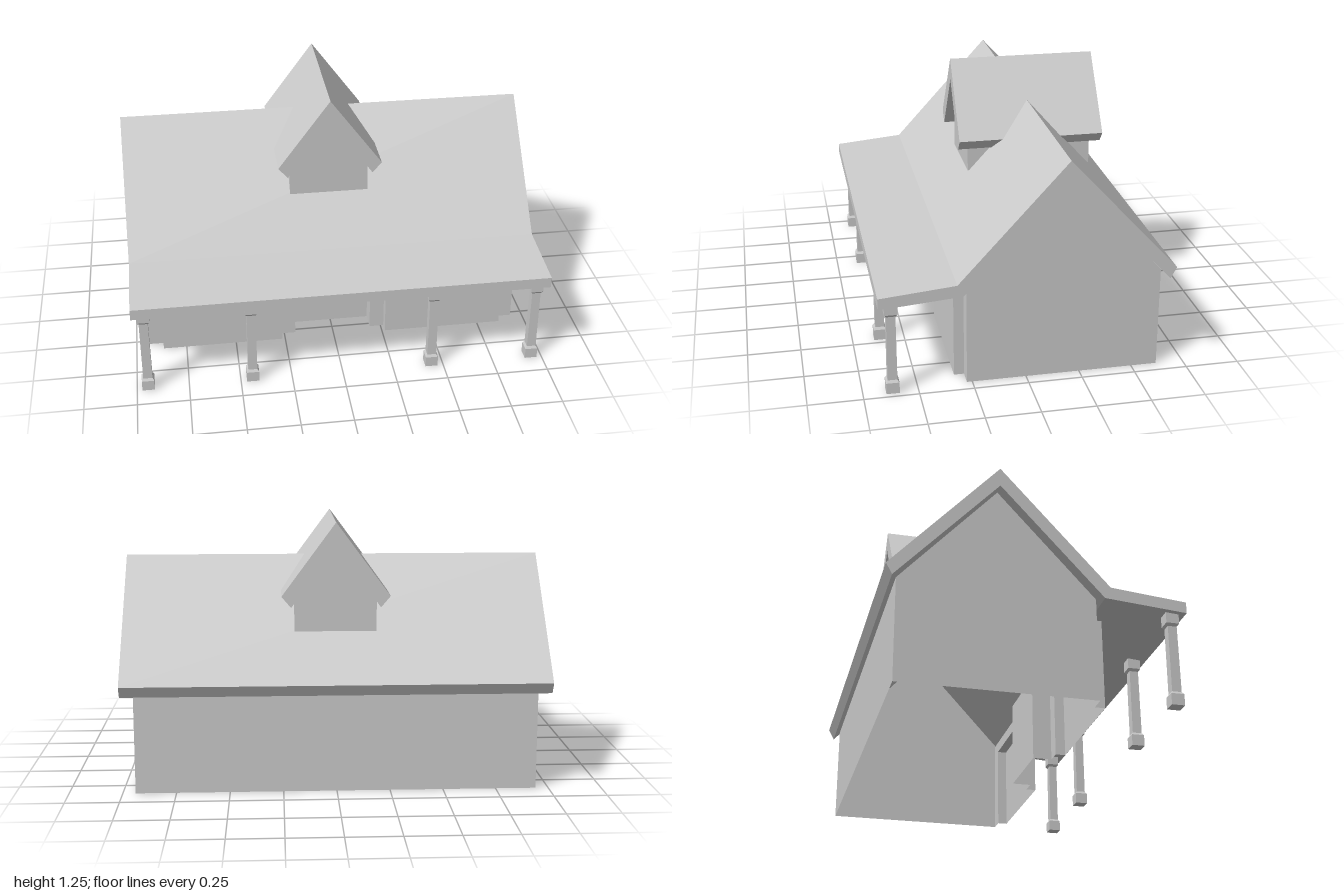
import * as THREE from 'three';

const solid = new THREE.MeshStandardMaterial({ color: 0xcccccc, flatShading: true });
const thin = new THREE.MeshStandardMaterial({ color: 0xcccccc, flatShading: true, side: THREE.DoubleSide });

const RIDGE_Z = -0.173;
const WALL_X = 0.94, WALL_FRONT = 0.275, WALL_BACK = -0.621;
const EAVE_Y = 0.485, BAY_TOP = 0.42;

const shapeOf = (pts) => new THREE.Shape(pts.map(([x, y]) => new THREE.Vector2(x, y)));

function add(parent, name, geometry, material = solid) {
  const mesh = new THREE.Mesh(geometry, material);
  mesh.name = name;
  parent.add(mesh);
  return mesh;
}

// Extrudes an outline along z, centred on the origin
function extrude(pts, depth, steps = 1) {
  return new THREE.ExtrudeGeometry(shapeOf(pts), { depth, steps, bevelEnabled: false })
    .translate(0, 0, -depth / 2);
}

// Vertical strip that follows an [x, z] plan line
function planStrip(plan, y0, y1) {
  const pos = [], index = [];
  plan.forEach(([x, z], i) => {
    pos.push(x, y0, z, x, y1, z);
    if (i) {
      const a = 2 * i - 2;
      index.push(a, a + 2, a + 3, a, a + 3, a + 1);
    }
  });
  const g = new THREE.BufferGeometry();
  g.setAttribute('position', new THREE.Float32BufferAttribute(pos, 3));
  g.setIndex(index);
  const flat = g.toNonIndexed();
  flat.computeVertexNormals();
  return flat;
}

function buildWalls() {
  const walls = new THREE.Group();
  walls.name = 'walls';

  // Gable ends and back wall, open underneath
  const gable = [[WALL_FRONT, 0], [WALL_FRONT, EAVE_Y], [RIDGE_Z, 0.975], [WALL_BACK, EAVE_Y], [WALL_BACK, 0]];
  for (const side of [-1, 1]) {
    const g = new THREE.ShapeGeometry(shapeOf(gable)).rotateY(-Math.PI / 2);
    add(walls, 'gableWall', g, thin).position.x = side * WALL_X;
  }
  add(walls, 'backWall', planStrip([[WALL_X, WALL_BACK], [-WALL_X, WALL_BACK]], 0, EAVE_Y), thin);

  // Two projecting bays and a recessed entrance: [x0, x1, z of face]
  const bays = [[-0.865, -0.265, 0.322], [-0.193, 0.193, 0.185], [0.265, 0.865, 0.322]];
  const outline = [[-WALL_X, 0]];
  for (const [x0, x1] of bays) outline.push([x0, 0], [x0, BAY_TOP], [x1, BAY_TOP], [x1, 0]);
  outline.push([WALL_X, 0], [WALL_X, EAVE_Y - 0.01], [-WALL_X, EAVE_Y - 0.01]);
  add(walls, 'frontWall', new THREE.ShapeGeometry(shapeOf(outline)), thin).position.z = WALL_FRONT;

  for (const [x0, x1, z] of bays) {
    const name = z > WALL_FRONT ? 'frontBay' : 'entranceRecess';
    add(walls, name, planStrip([[x0, WALL_FRONT], [x0, z], [x1, z], [x1, WALL_FRONT]], 0, BAY_TOP), thin);
    const top = new THREE.PlaneGeometry(x1 - x0, Math.abs(z - WALL_FRONT)).rotateX(-Math.PI / 2);
    add(walls, name + 'Top', top, thin).position.set((x0 + x1) / 2, BAY_TOP, (z + WALL_FRONT) / 2);
  }
  return walls;
}

function buildDormer() {
  const dormer = new THREE.Group();
  dormer.name = 'dormer';
  dormer.position.z = RIDGE_Z;

  add(dormer, 'dormerRoof', extrude([
    [0, 1.252], [-0.254, 0.908], [-0.209, 0.855], [0, 1.148], [0.209, 0.855], [0.254, 0.908],
  ], 0.71));

  // The underside rises in the middle to stay within the main roof
  const body = extrude([
    [-0.193, 0.735], [0.193, 0.735], [0.193, 0.878], [0, 1.148], [-0.193, 0.878],
  ], 0.61, 2);
  const p = body.attributes.position;
  for (let i = 0; i < p.count; i++) {
    if (Math.abs(p.getZ(i)) < 0.01 && p.getY(i) < 0.8) p.setY(i, 0.87);
  }
  body.computeVertexNormals();
  add(dormer, 'dormerBody', body);
  return dormer;
}

// Square post with a base block and a capital
function buildColumn(x) {
  const profile = [
    [0, 0], [0.03, 0], [0.03, 0.053], [0.022, 0.065], [0.021, 0.38],
    [0.03, 0.392], [0.03, 0.442], [0, 0.442],
  ].map(([halfWidth, y]) => new THREE.Vector2(halfWidth * Math.SQRT2, y));
  const g = new THREE.LatheGeometry(profile, 4).rotateY(Math.PI / 4);
  const column = new THREE.Mesh(g, solid);
  column.name = 'porchColumn';
  column.position.set(x, 0, 0.616);
  return column;
}

export function createModel() {
  const house = new THREE.Group();
  house.name = 'house';
  house.add(buildWalls());

  // Main gable roof, continuing at the front as the shallow porch roof
  add(house, 'mainRoof', extrude([
    [0.675, 0.435], [0.675, 0.488], [0.325, 0.52], [RIDGE_Z, 1.064],
    [-0.675, 0.518], [-0.647, 0.465], [RIDGE_Z, 0.975], [0.297, 0.465],
  ], 2).rotateY(-Math.PI / 2));

  house.add(buildDormer());
  for (const x of [-0.945, -0.441, 0.441, 0.945]) house.add(buildColumn(x));
  return house;
}
